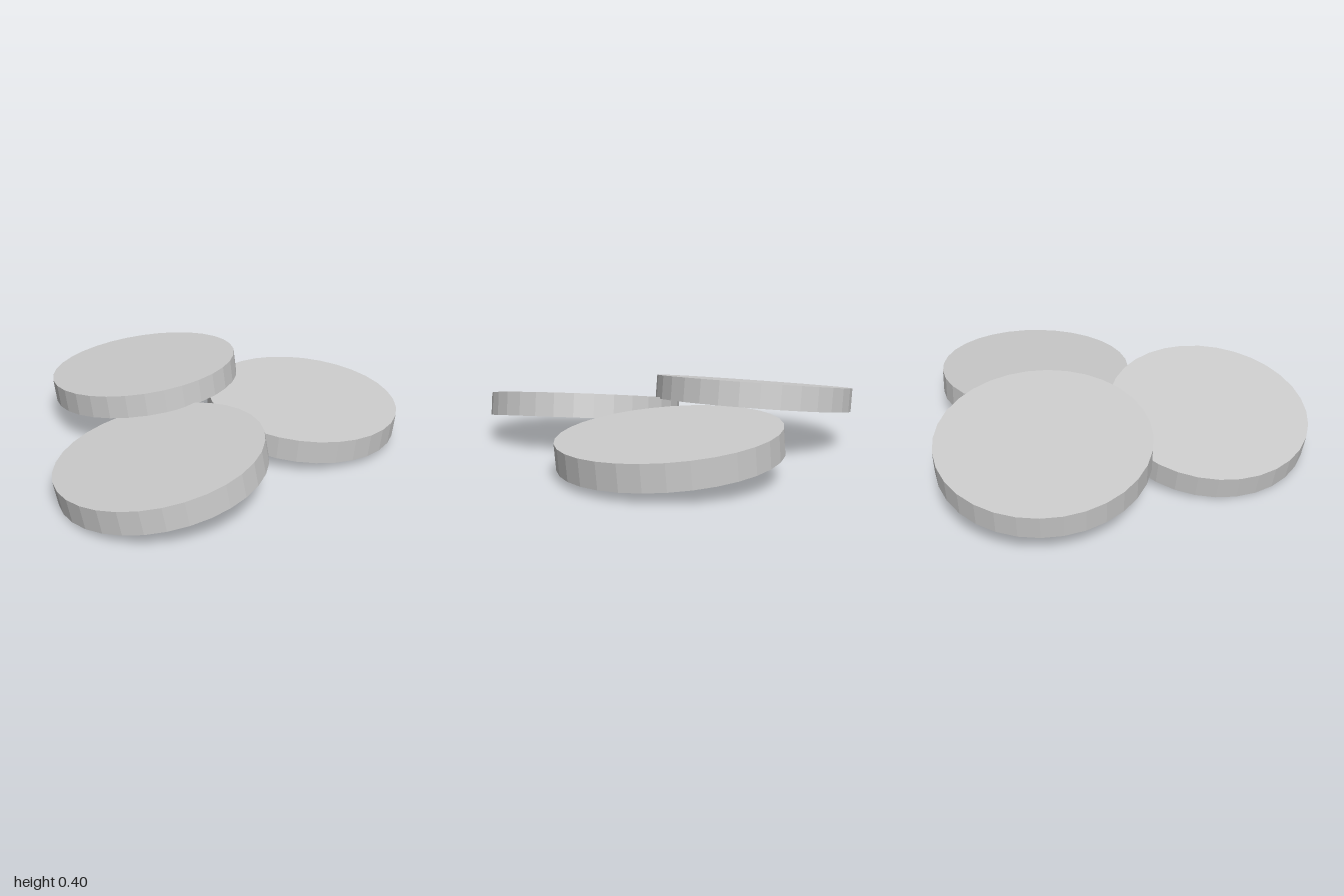
import * as THREE from 'three';

const RADIUS = 0.53;
const THICKNESS = 0.125;

export function createModel() {
  const group = new THREE.Group();
  const material = new THREE.MeshStandardMaterial({ color: 0xcccccc, flatShading: true });
  const geometry = new THREE.CylinderGeometry(RADIUS, RADIUS, THICKNESS, 32);
  // Origin at the centre of the top face
  geometry.translate(0, -THICKNESS / 2, 0);

  // A flat disc placed by its top centre; slopes are the x and z parts of its normal
  const addDisc = (name, top, slopeX, slopeZ) => {
    const disc = new THREE.Mesh(geometry, material);
    disc.name = name;
    disc.position.set(...top);
    const normal = new THREE.Vector3(slopeX, Math.sqrt(1 - slopeX ** 2 - slopeZ ** 2), slopeZ);
    disc.quaternion.setFromUnitVectors(new THREE.Vector3(0, 1, 0), normal);
    group.add(disc);
  };

  // Three overlapping tilted discs
  addDisc('upperDisc', [-0.465, 0.33, -0.385], -0.132, 0.012);
  addDisc('lowerDisc', [0.46, 0.207, -0.47], 0.087, 0.035);
  addDisc('frontDisc', [-0.05, 0.22, 0.467], -0.165, 0.08);

  return group;
}
